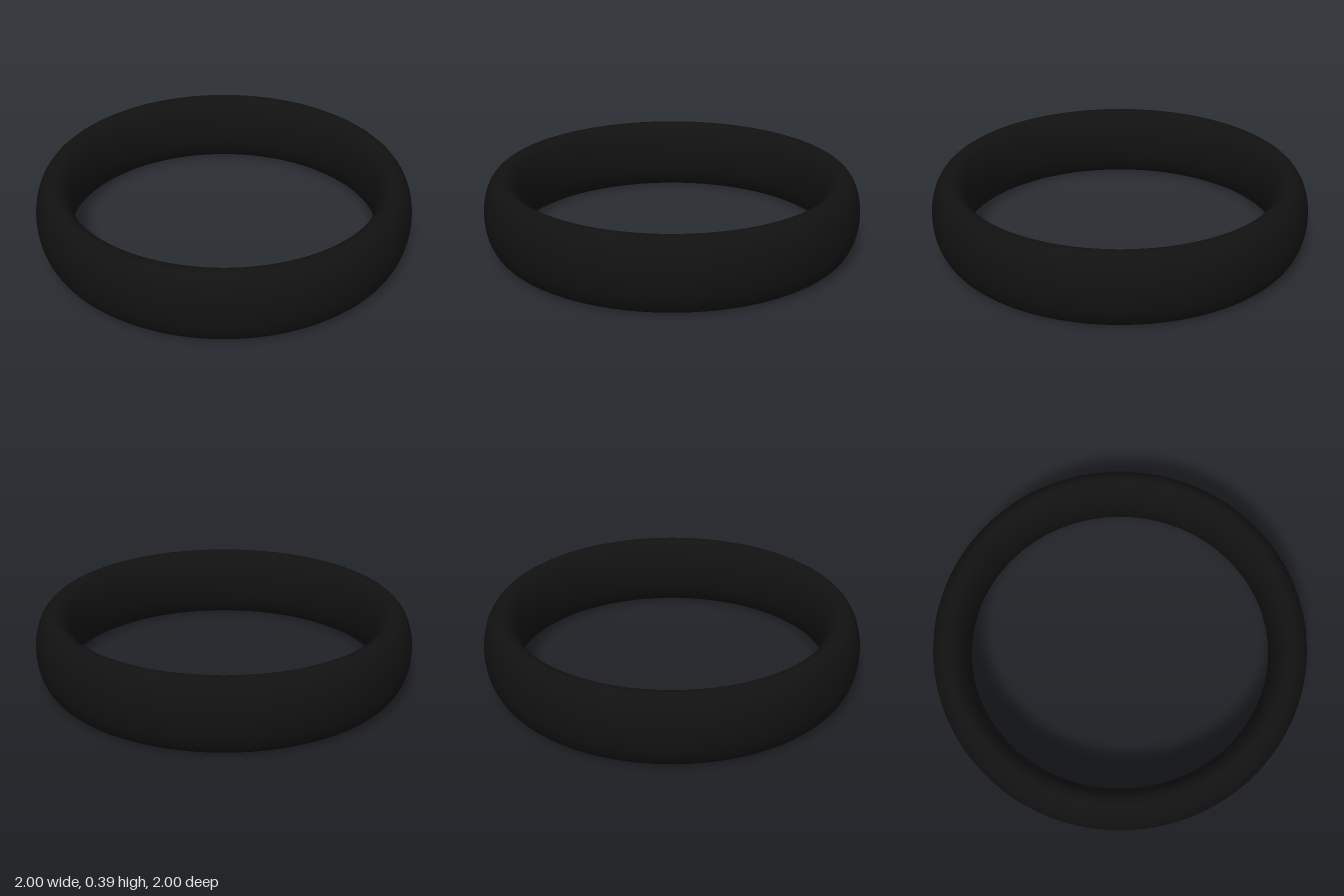
import * as THREE from 'three';

export function createModel() {
  const group = new THREE.Group();
  group.name = 'ringModel';

  // Round band with an upright elliptical cross-section
  const height = 0.39;
  const ringRadius = 0.9;
  const tubeRadius = 0.1;
  const geometry = new THREE.TorusGeometry(ringRadius, tubeRadius, 48, 160);
  geometry.rotateX(-Math.PI / 2);
  geometry.scale(1, height / (2 * tubeRadius), 1);
  geometry.translate(0, height / 2, 0);

  const band = new THREE.Mesh(geometry, new THREE.MeshStandardMaterial({ color: 0x111111 }));
  band.name = 'band';
  group.add(band);
  return group;
}
